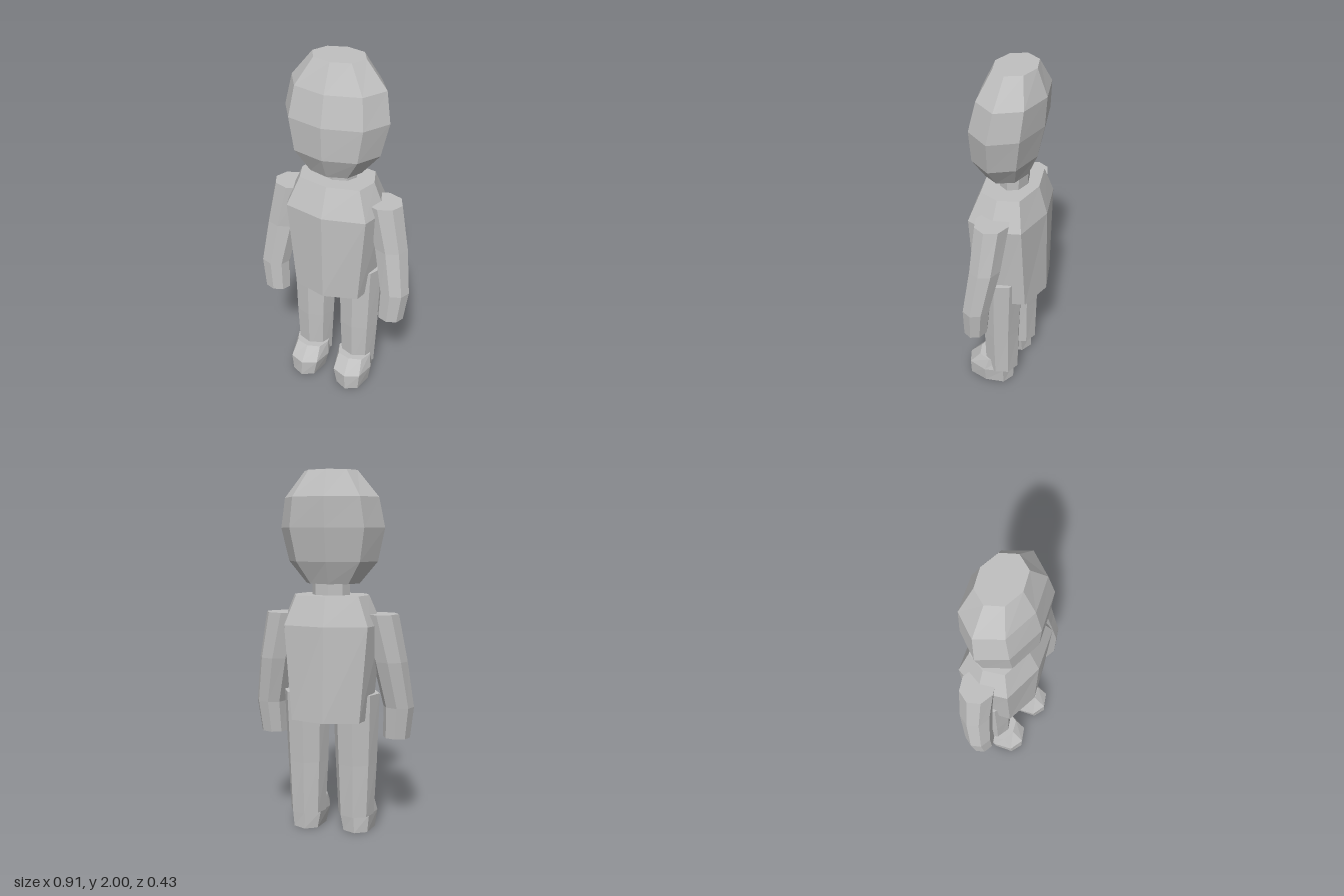
import * as THREE from 'three';

const grey = new THREE.MeshStandardMaterial({ color: 0xc0c0c0, flatShading: true });
grey.name = 'plain grey';

const SIDES = 8;

// Closed eight-sided tube through rings [y, centreX, centreZ, radiusX, radiusZ], listed from bottom to top.
// cornerX and cornerZ set how far the diagonal corners reach.
function loft(name, rings, cornerX = 0.71, cornerZ = 0.71) {
  const positions = [];
  const index = [];
  for (const [y, cx, cz, rx, rz] of rings) {
    for (let i = 0; i < SIDES; i++) {
      const a = (i / SIDES) * Math.PI * 2;
      const diagonal = i % 2 === 1;
      const dx = diagonal ? Math.sign(Math.sin(a)) * cornerX : Math.round(Math.sin(a));
      const dz = diagonal ? Math.sign(Math.cos(a)) * cornerZ : Math.round(Math.cos(a));
      positions.push(cx + dx * rx, y, cz + dz * rz);
    }
  }
  for (let r = 0; r < rings.length - 1; r++) {
    for (let i = 0; i < SIDES; i++) {
      const a = r * SIDES + i;
      const b = r * SIDES + ((i + 1) % SIDES);
      index.push(a, b, b + SIDES, a, b + SIDES, a + SIDES);
    }
  }
  // Flat end caps
  const top = (rings.length - 1) * SIDES;
  for (let i = 1; i < SIDES - 1; i++) {
    index.push(0, i + 1, i);
    index.push(top, top + i, top + i + 1);
  }
  const indexed = new THREE.BufferGeometry();
  indexed.setAttribute('position', new THREE.Float32BufferAttribute(positions, 3));
  indexed.setIndex(index);
  const geometry = indexed.toNonIndexed();
  geometry.computeVertexNormals();
  const mesh = new THREE.Mesh(geometry, grey);
  mesh.name = name;
  return mesh;
}

export function createModel() {
  const model = new THREE.Group();
  model.name = 'figure';

  // Head, slightly leaning back towards the crown
  model.add(loft('head', [
    [1.4, 0, 0.025, 0.15, 0.115],
    [1.52, 0, 0.027, 0.25, 0.167],
    [1.7, 0, 0.012, 0.29, 0.187],
    [1.86, 0, -0.012, 0.26, 0.172],
    [2.0, 0, -0.02, 0.145, 0.11],
  ], 0.7, 0.73));

  model.add(loft('neck', [
    [1.3, 0, -0.015, 0.105, 0.075],
    [1.43, 0, -0.015, 0.105, 0.075],
  ]));

  // Torso with sloped shoulders, narrowing to the hem
  model.add(loft('torso', [
    [0.66, 0, -0.005, 0.23, 0.207],
    [1.18, 0, 0.003, 0.28, 0.205],
    [1.34, 0, -0.005, 0.21, 0.148],
  ], 0.82, 0.74));

  // Limbs, built once for each side
  for (const side of [1, -1]) {
    const label = side > 0 ? 'left' : 'right';
    const mirror = (rings) => rings.map(([y, x, ...rest]) => [y, x * side, ...rest]);

    model.add(loft(label + 'Arm', mirror([
      [0.54, 0.358, 0.065, 0.076, 0.065],
      [0.72, 0.37, 0.052, 0.086, 0.075],
      [0.98, 0.325, 0.014, 0.097, 0.086],
      [1.24, 0.265, -0.003, 0.108, 0.093],
    ])));

    model.add(loft(label + 'Leg', mirror([
      [0.1, 0.14, 0.005, 0.103, 0.1],
      [0.4, 0.14, 0.004, 0.118, 0.105],
      [0.8, 0.14, -0.006, 0.133, 0.112],
    ])));

    // Shoe with a rounded, sloping toe
    model.add(loft(label + 'Shoe', mirror([
      [0, 0.145, 0.073, 0.093, 0.142],
      [0.1, 0.14, 0.073, 0.112, 0.142],
      [0.18, 0.137, 0.05, 0.1, 0.092],
    ]), 0.74, 0.76));
  }

  return model;
}
